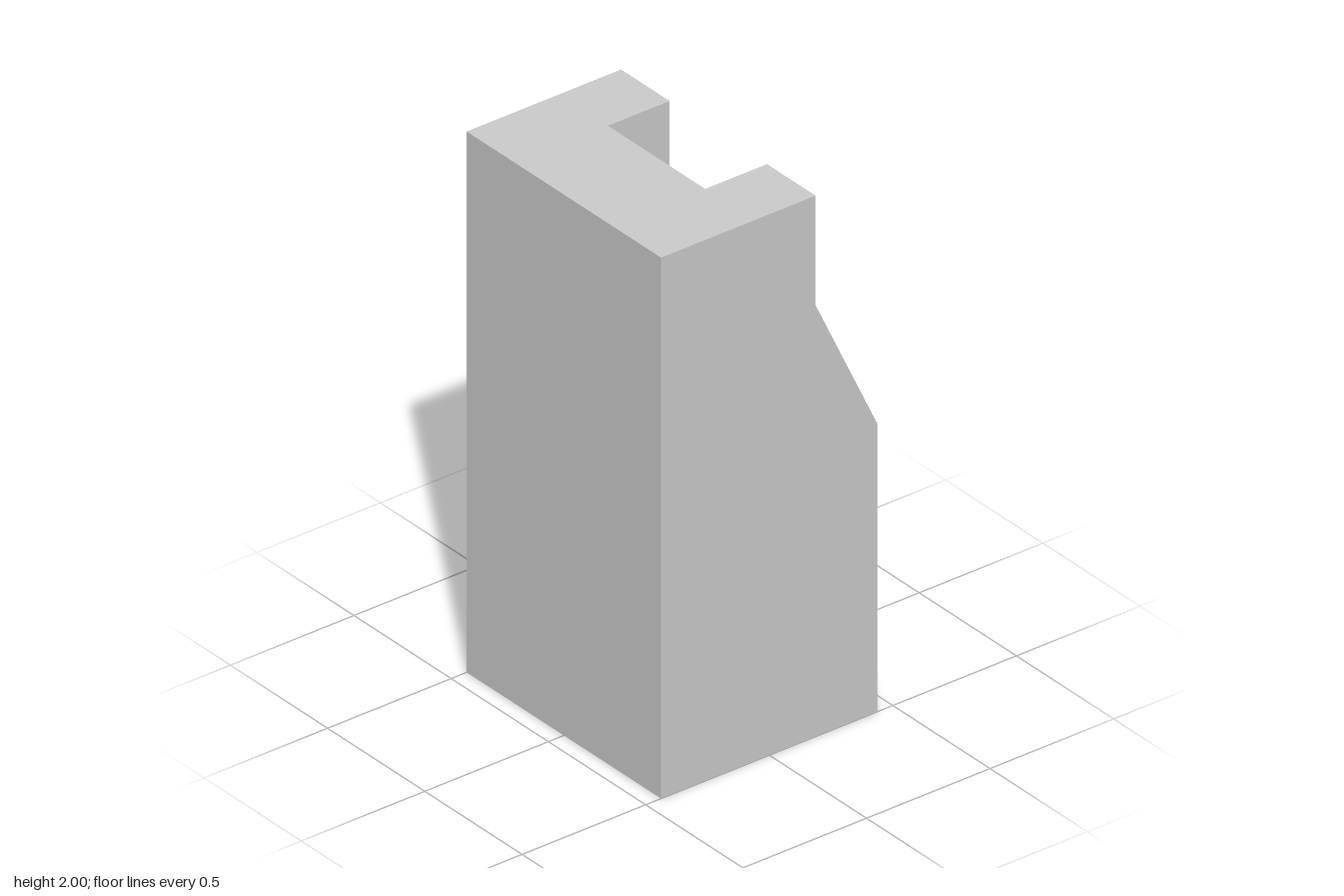
import * as THREE from 'three';

// U-shaped plan (x, z); the slotted front edge is set back by the given amount
function plan(setback) {
  const face = 0.4375 - setback, slot = 0.1875 - setback;
  return [
    [-0.4375, -0.5], [face, -0.5], [face, -0.25], [slot, -0.25],
    [slot, 0.25], [face, 0.25], [face, 0.5], [-0.4375, 0.5],
  ].map(([x, z]) => new THREE.Vector2(x, z));
}

// Levels as [height, setback]: straight base, sloping shoulder, straight top
const LEVELS = [[0, 0], [1.065, 0], [1.595, 0.25], [2, 0.25]];

function createBlockGeometry() {
  const positions = [];
  const rings = LEVELS.map(([y, setback]) =>
    plan(setback).map((p) => new THREE.Vector3(p.x, y, p.y)));
  const triangle = (...corners) => corners.forEach((c) => positions.push(c.x, c.y, c.z));

  // Walls between neighbouring levels
  for (let i = 0; i < rings.length - 1; i++) {
    const low = rings[i], high = rings[i + 1];
    for (let j = 0; j < low.length; j++) {
      const k = (j + 1) % low.length;
      triangle(low[j], high[j], high[k]);
      triangle(low[j], high[k], low[k]);
    }
  }

  // Bottom and top caps
  const bottom = rings[0], top = rings[rings.length - 1];
  for (const [a, b, c] of THREE.ShapeUtils.triangulateShape(plan(0), [])) {
    triangle(bottom[a], bottom[b], bottom[c]);
    triangle(top[a], top[c], top[b]);
  }

  const geometry = new THREE.BufferGeometry();
  geometry.setAttribute('position', new THREE.Float32BufferAttribute(positions, 3));
  geometry.computeVertexNormals();
  return geometry;
}

export function createModel() {
  const group = new THREE.Group();
  group.name = 'slottedPillar';
  const block = new THREE.Mesh(
    createBlockGeometry(),
    new THREE.MeshStandardMaterial({ color: 0xcccccc, flatShading: true }),
  );
  block.name = 'slottedBlock';
  group.add(block);
  return group;
}
